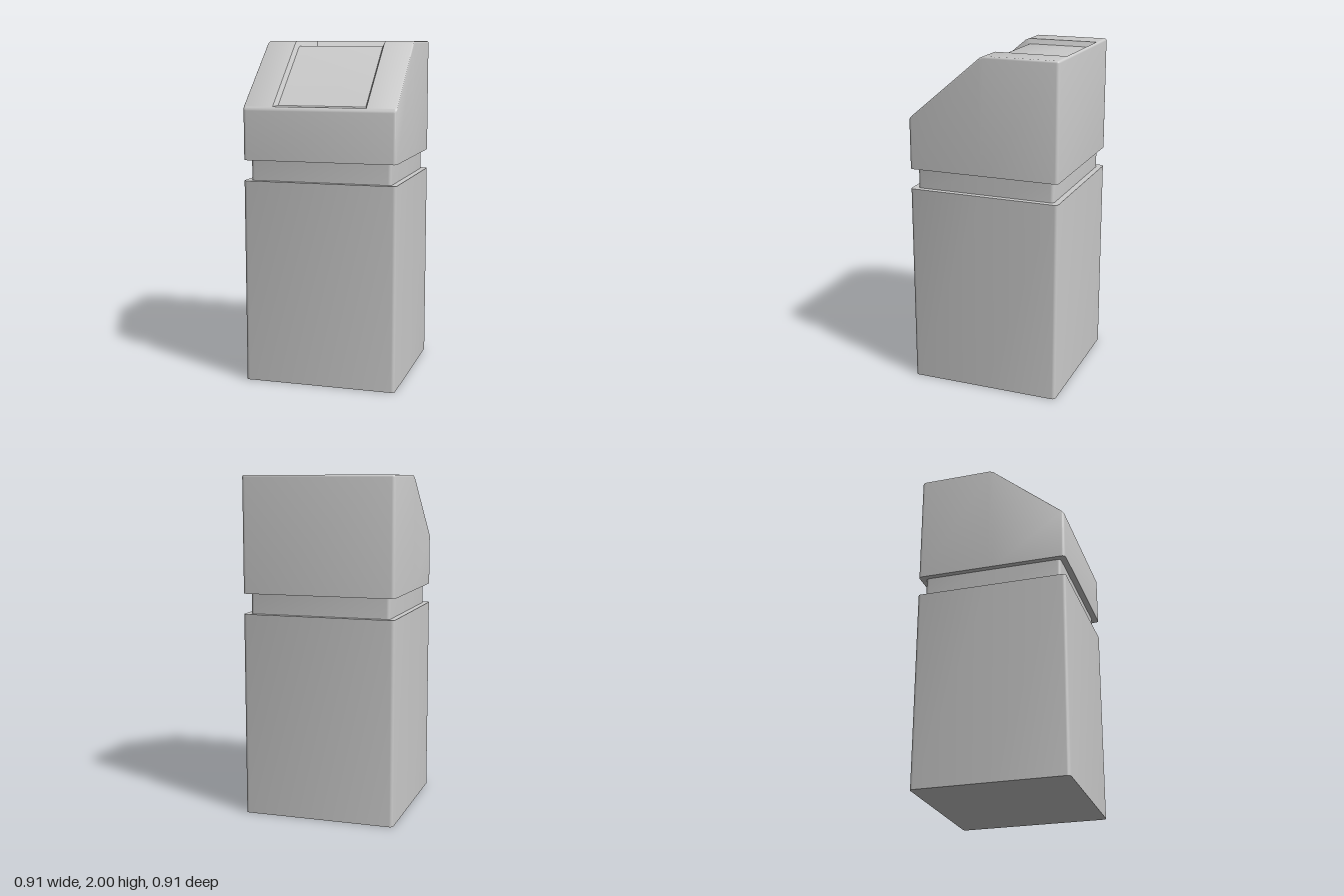
import * as THREE from 'three';
import { toCreasedNormals } from 'three/addons/utils/BufferGeometryUtils.js';

const HALF = 0.453, CORNER = 0.02, BEVEL = 0.012, SEGMENTS = 4;
const SLOPE = 0.844, SOFT = 0.012; // fall of the front slope, half width of its softened ridge

// Closed loop in plan (rounded rectangle with two points at the ridge), lifted to height(z).
// Starts at the front +x corner, runs back, then returns mirrored along -x.
function ring(halfX, front, back, radius, height, ridge = 0) {
  const side = [];
  const corner = (z, start) => {
    for (let i = 0; i <= SEGMENTS; i++) {
      const a = start - (i / SEGMENTS) * Math.PI / 2;
      side.push([halfX - radius + radius * Math.cos(a), z + radius * Math.sin(a)]);
    }
  };
  corner(front - radius, Math.PI / 2);
  side.push([halfX, ridge + SOFT], [halfX, ridge - SOFT]);
  corner(back + radius, 0);
  const mirrored = side.map(([x, z]) => [-x, z]).reverse();
  return [...side, ...mirrored].map(([x, z]) => new THREE.Vector3(x, height(z), z));
}

// Skin a stack of loops and close both ends
function loft(name, rings, material) {
  const positions = [];
  const tri = (a, b, c) => {
    const area = b.clone().sub(a).cross(c.clone().sub(a)).length();
    if (area > 1e-9) for (const p of [a, b, c]) positions.push(p.x, p.y, p.z);
  };
  const quad = (a, b, c, d) => { tri(a, b, c); tri(a, c, d); };
  const n = rings[0].length;
  for (let k = 0; k < rings.length - 1; k++) {
    const lo = rings[k], hi = rings[k + 1];
    for (let i = 0; i < n; i++) {
      const j = (i + 1) % n;
      quad(lo[i], lo[j], hi[j], hi[i]);
    }
  }
  const bottom = rings[0], top = rings[rings.length - 1];
  for (let i = 0; i < n / 2 - 1; i++) {
    quad(top[i], top[i + 1], top[n - 2 - i], top[n - 1 - i]);
    quad(bottom[n - 1 - i], bottom[n - 2 - i], bottom[i + 1], bottom[i]);
  }
  const geometry = new THREE.BufferGeometry();
  geometry.setAttribute('position', new THREE.Float32BufferAttribute(positions, 3));
  const mesh = new THREE.Mesh(toCreasedNormals(geometry, THREE.MathUtils.degToRad(28)), material);
  mesh.name = name;
  return mesh;
}

export function createModel() {
  const group = new THREE.Group();
  group.name = 'bin';
  const material = new THREE.MeshStandardMaterial({ color: 0xcccccc });

  // Square ring with rounded corners at a constant height
  const level = (half, y) => ring(half, half, -half, CORNER, () => y);

  // Tall body and the recessed neck above it
  group.add(loft('body', [level(HALF, 0), level(HALF, 1.2)], material));
  group.add(loft('neck', [level(0.418, 1.19), level(0.418, 1.33)], material));

  // Lid: flat at the back, sloping down to the front, with rounded upper edges
  const roof = z => 2 - SLOPE * Math.max(0, z);
  const lid = [level(HALF, 1.32)];
  for (let i = 0; i <= 4; i++) {
    const a = (i / 4) * Math.PI / 2;
    const inset = BEVEL * (1 - Math.cos(a)), drop = BEVEL * (1 - Math.sin(a));
    const half = HALF - inset;
    lid.push(ring(half, half, -half, CORNER - inset, z => roof(z) - drop));
  }

  // Shallow panel sunk into the lid, following the roof at a constant depth
  const depth = 0.03, ridge = -0.011;
  const floor = z => 2 - depth - SLOPE * Math.max(0, z - ridge);
  lid.push(ring(0.276, 0.438, -0.436, 0, roof));
  lid.push(ring(0.26, 0.386, -0.386, 0, floor, ridge));
  group.add(loft('lid', lid, material));

  return group;
}
